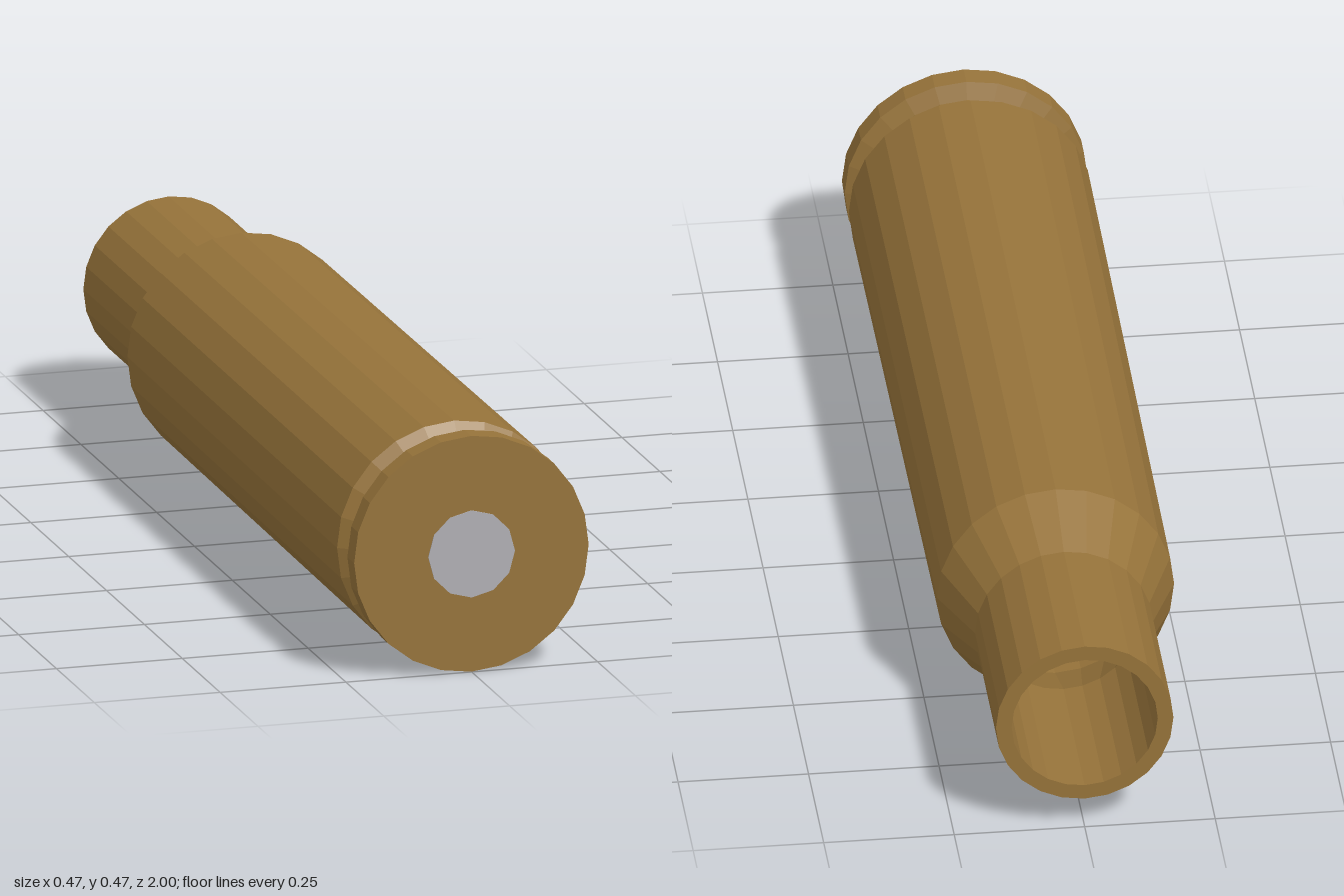
import * as THREE from 'three';

const AXIS_Y = 0.234;

// Turns a [radius, z] profile around the z axis.
function turned(name, profile, sides, material) {
  const points = profile.map(([r, z]) => new THREE.Vector2(r, z));
  const geometry = new THREE.LatheGeometry(points, sides).rotateX(Math.PI / 2);
  const mesh = new THREE.Mesh(geometry, material);
  mesh.name = name;
  mesh.position.y = AXIS_Y;
  return mesh;
}

export function createModel() {
  const brass = new THREE.MeshStandardMaterial({ color: 0x96733a, flatShading: true });
  brass.name = 'brass';
  const steel = new THREE.MeshStandardMaterial({ color: 0xb0aeb3, flatShading: true });
  steel.name = 'steel';

  const group = new THREE.Group();
  group.name = 'cartridgeCase';

  // Hollow inside: floor, walls, inner shoulder, neck
  group.add(turned('innerWall', [
    [0, 0.84], [0.19, 0.84], [0.19, -0.51], [0.14, -0.65], [0.14, -1],
  ], 24, brass));

  // Ring around the open mouth
  group.add(turned('mouthRim', [[0.14, -1], [0.17, -1]], 24, brass));

  // Neck, shoulder and slightly tapered body
  group.add(turned('body', [
    [0.17, -1], [0.17, -0.655], [0.227, -0.52], [0.233, 0.885],
  ], 24, brass));

  // Extractor groove, base rim and flat end
  group.add(turned('base', [
    [0.233, 0.885], [0.2, 0.91], [0.2, 0.94], [0.233, 0.953], [0.233, 0.998], [0, 0.998],
  ], 24, brass));

  // Primer disc in the end
  group.add(turned('primer', [[0.086, 0.996], [0.086, 1], [0, 1]], 12, steel));

  return group;
}
